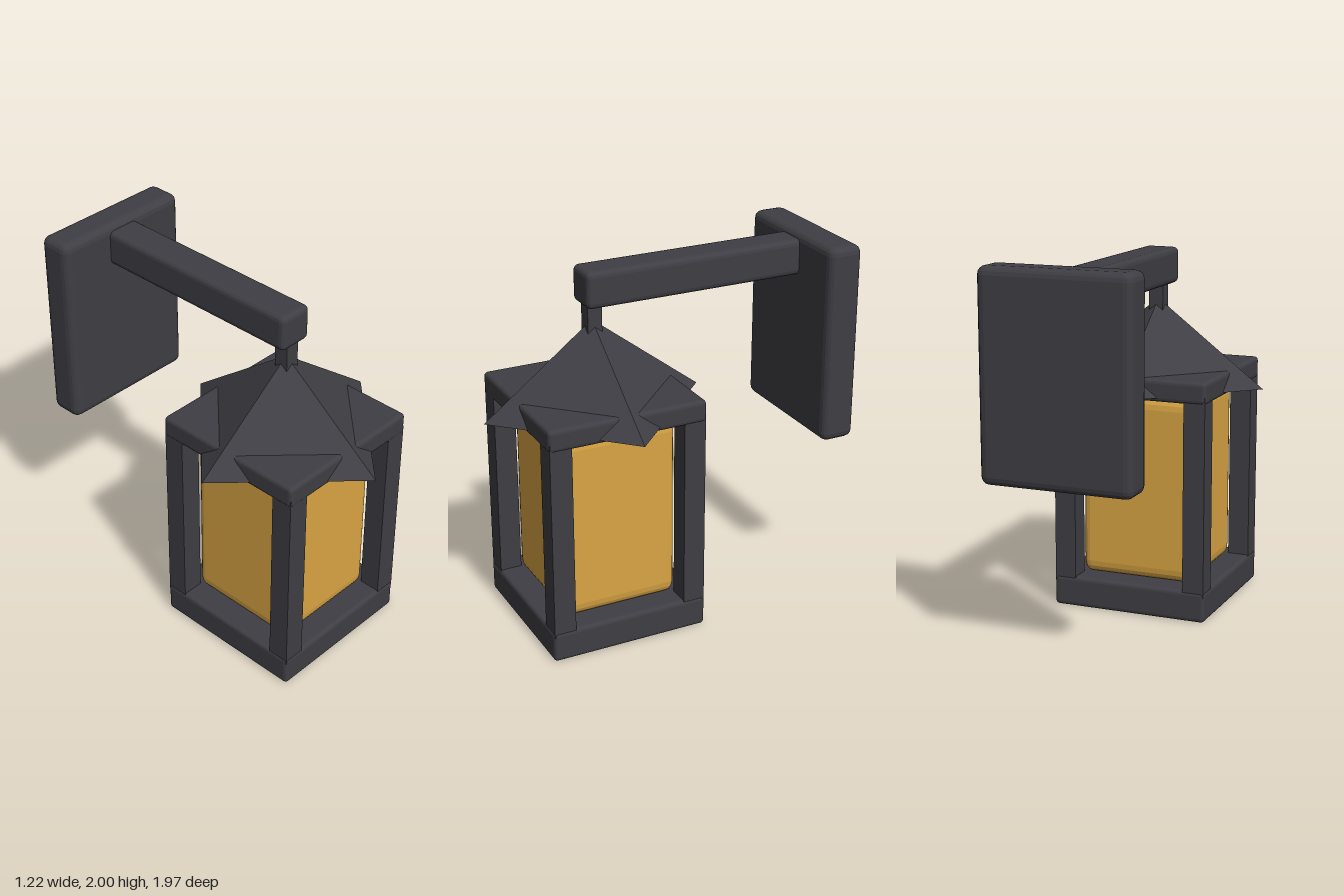
import * as THREE from 'three';
import { RoundedBoxGeometry } from 'three/addons/geometries/RoundedBoxGeometry.js';

export function createModel() {
  const iron = new THREE.MeshStandardMaterial({ color: 0x3f3e44 });
  iron.name = 'dark iron';
  const amber = new THREE.MeshStandardMaterial({ color: 0xd9a544 });
  amber.name = 'amber glass';

  const model = new THREE.Group();
  model.name = 'wallLantern';

  // Faceted geometry: every triangle gets its own normal
  const facet = (geometry) => {
    const flat = geometry.index ? geometry.toNonIndexed() : geometry;
    flat.computeVertexNormals();
    return flat;
  };
  const add = (parent, name, geometry, material, x, y, z) => {
    const mesh = new THREE.Mesh(facet(geometry), material);
    mesh.name = name;
    mesh.position.set(x, y, z);
    parent.add(mesh);
    return mesh;
  };
  const bevelBox = (w, h, d, r) => new RoundedBoxGeometry(w, h, d, 2, r);

  // Wall plate and arm
  add(model, 'wallPlate', bevelBox(0.82, 1.09, 0.195, 0.045), iron, 0, 1.455, -0.89);
  add(model, 'arm', bevelBox(0.196, 0.196, 1.29, 0.03), iron, 0, 1.868, -0.205);

  // Lantern hanging from the arm
  const lantern = new THREE.Group();
  lantern.name = 'lantern';
  lantern.position.z = 0.377;
  model.add(lantern);

  add(lantern, 'hanger', new THREE.BoxGeometry(0.08, 0.22, 0.08), iron, 0, 1.69, 0);
  // Four-sided roof turned so its corners point along the axes
  add(lantern, 'roof', new THREE.ConeGeometry(0.61, 0.465, 4), iron, 0, 1.4525, 0);
  add(lantern, 'topFrame', bevelBox(0.88, 0.12, 0.88, 0.022), iron, 0, 1.258, 0);
  add(lantern, 'base', bevelBox(0.88, 0.17, 0.88, 0.022), iron, 0, 0.085, 0);

  // Corner posts
  for (const x of [-1, 1]) {
    for (const z of [-1, 1]) {
      add(lantern, 'cornerPost', new THREE.BoxGeometry(0.12, 1.1, 0.12), iron, x * 0.375, 0.69, z * 0.375);
    }
  }

  // Glass block, its bevel stretched with its height
  const glass = bevelBox(1, 1, 1, 0.065);
  glass.scale(0.64, 1.02, 0.64);
  add(lantern, 'glass', glass, amber, 0, 0.68, 0);

  return model;
}
